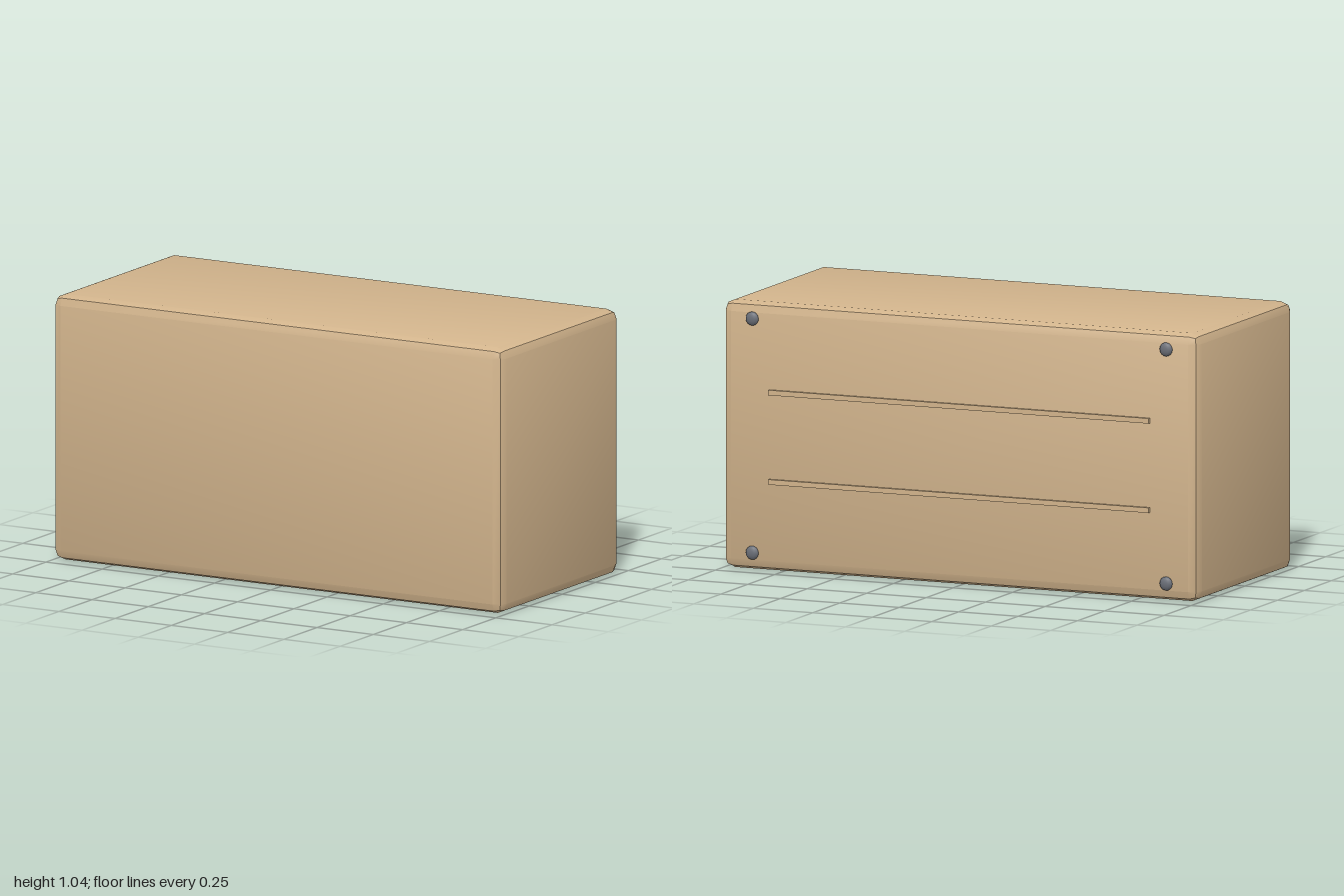
import * as THREE from 'three';
import { RoundedBoxGeometry } from 'three/addons/geometries/RoundedBoxGeometry.js';
import { toCreasedNormals } from 'three/addons/utils/BufferGeometryUtils.js';

const WIDTH = 2, HEIGHT = 1.04;
const FRONT = 0.458, BACK = -0.44;

export function createModel() {
  const model = new THREE.Group();
  model.name = 'box';
  const tan = new THREE.MeshStandardMaterial({ color: 0xd2b48c });
  const steel = new THREE.MeshStandardMaterial({ color: 0x6b6f78 });

  const add = (name, geometry, material, x, y, z) => {
    const mesh = new THREE.Mesh(geometry, material);
    mesh.name = name;
    mesh.position.set(x, y, z);
    model.add(mesh);
    return mesh;
  };

  // Body with narrow two-step bevels on every edge
  const body = new RoundedBoxGeometry(WIDTH, HEIGHT, FRONT - BACK, 1, 0.04);
  add('body', toCreasedNormals(body, Math.PI / 6), tan, 0, HEIGHT / 2, (FRONT + BACK) / 2);

  // Two thin horizontal ribs on the back
  const rib = new THREE.BoxGeometry(1.6, 0.02, 0.02);
  for (const y of [0.348, 0.695]) add('backRib', rib, tan, 0, y, BACK - 0.001);

  // Flattened screw heads in the back corners
  const screw = new THREE.SphereGeometry(0.027, 12, 8);
  screw.scale(1, 1, 0.5);
  for (const x of [-0.87, 0.87]) {
    for (const y of [0.068, 0.977]) add('screwHead', screw, steel, x, y, BACK - 0.0045);
  }
  return model;
}
